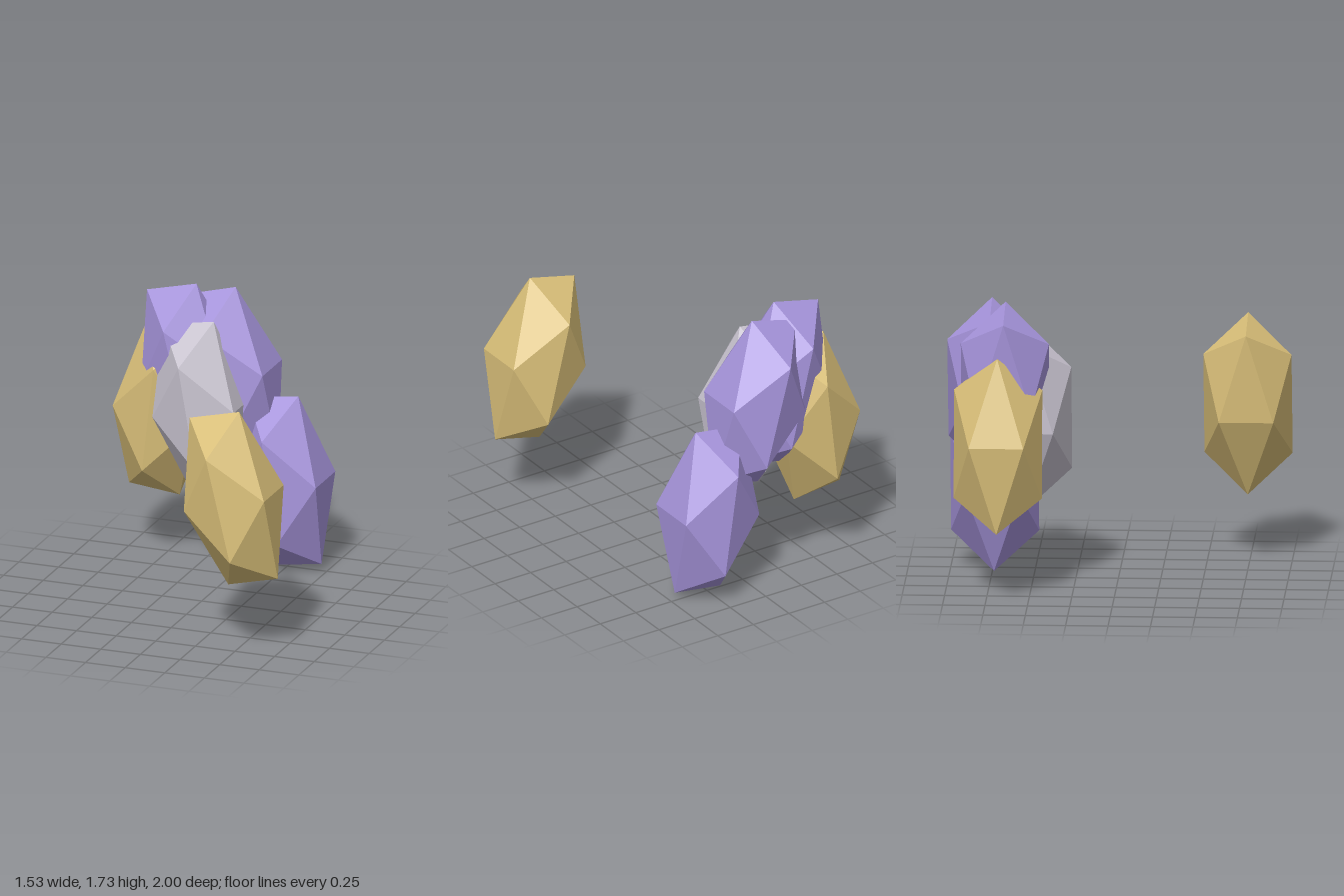
import * as THREE from 'three';

const material = (name, color) => {
  const m = new THREE.MeshStandardMaterial({ color, flatShading: true });
  m.name = name;
  return m;
};

export function createModel() {
  const group = new THREE.Group();
  group.name = 'crystalCluster';

  const gold = material('gold', 0xd8be78);
  const violet = material('violet', 0xa593da);
  const grey = material('paleGrey', 0xc6c1cd);

  // One faceted shard, twice as tall as wide, shared by all crystals
  const shard = new THREE.IcosahedronGeometry(0.3056, 0);
  shard.scale(1, 2, 1);

  // name, material, centre x, y, z, sideways tilt
  const crystals = [
    ['frontGoldCrystal', gold, 0.488, 0.957, 0.74, 0.237],
    ['leftVioletCrystal', violet, 0.238, 0.542, -0.74, 0.141],
    ['middleVioletCrystal', violet, -0.092, 1.168, -0.74, 0.262],
    ['rightVioletCrystal', violet, -0.318, 1.192, -0.65, 0.237],
    ['rightGoldCrystal', gold, -0.506, 0.925, -0.685, -0.11],
    ['greyCrystal', grey, -0.196, 1.019, -0.525, 0.173],
  ];
  for (const [name, mat, x, y, z, tilt] of crystals) {
    const mesh = new THREE.Mesh(shard, mat);
    mesh.name = name;
    mesh.position.set(x, y, z);
    mesh.rotation.z = tilt;
    group.add(mesh);
  }
  return group;
}
